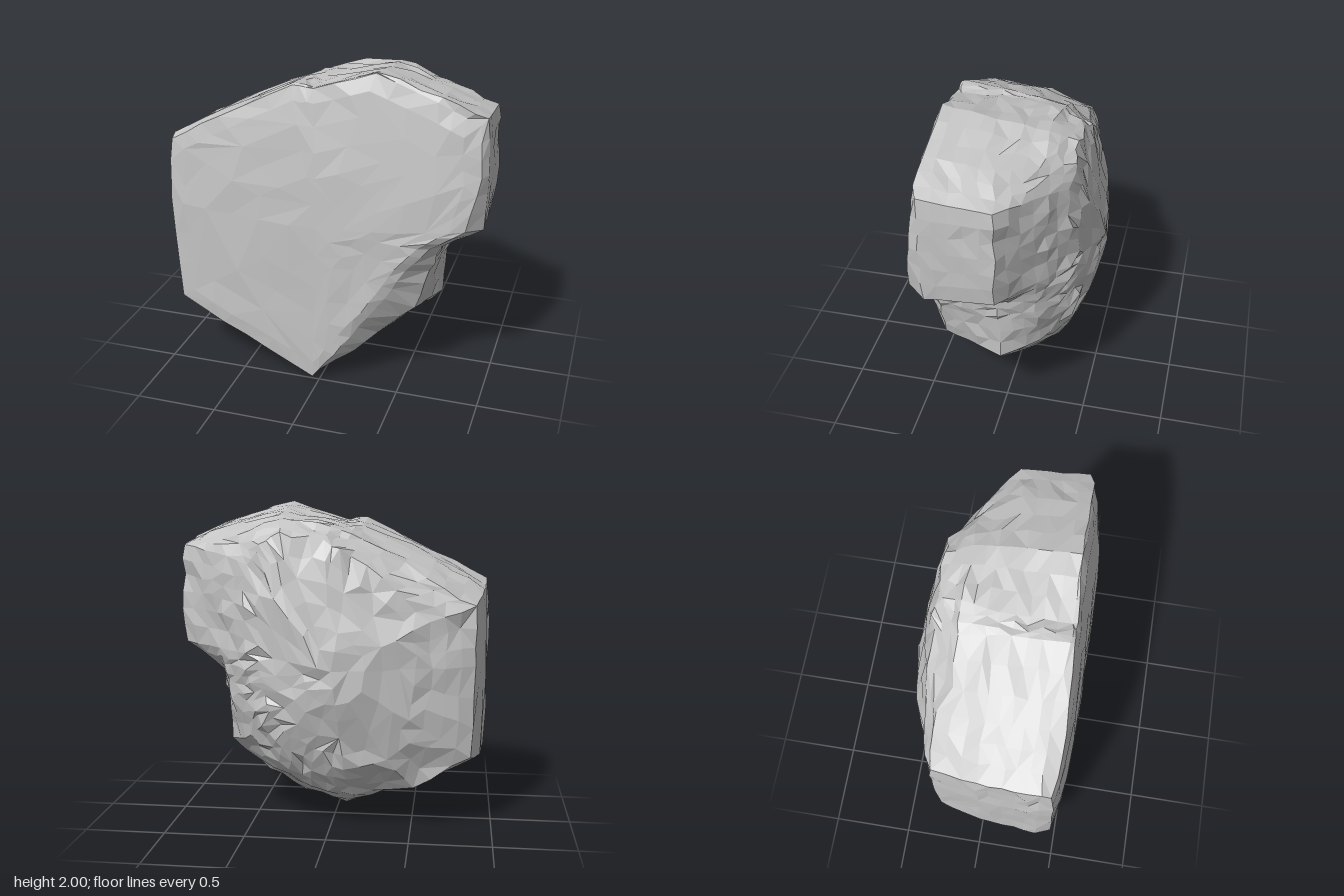
import * as THREE from 'three';

// Outlines in x, y running counter-clockwise from the bottom tip, front to back
const FRONT = [[-.04, .03], [.1, .21], [.25, .42], [.41, .64], [.53, .84], [.67, 1], [.87, 1.13], [.94, 1.45], [.92, 1.75],
  [.68, 1.86], [.32, 1.99], [-.04, 1.88], [-.17, 1.89], [-.62, 1.67], [-.945, 1.49], [-.965, 1.1], [-.92, .44], [-.48, .25]];
const SHOULDER = [[-.05, .005], [.15, .16], [.34, .33], [.57, .54], [.65, .8], [.72, .97], [.955, 1.11], [.97, 1.45], [.955, 1.78],
  [.7, 1.89], [.32, 2], [-.05, 1.88], [-.17, 1.9], [-.62, 1.68], [-.95, 1.51], [-.97, 1.1], [-.95, .41], [-.5, .22]];
const MIDDLE = [[-.08, .08], [.19, .16], [.42, .29], [.67, .49], [.69, .8], [.72, .95], [.945, 1.13], [.965, 1.45], [.945, 1.74],
  [.7, 1.85], [.33, 1.94], [-.05, 1.88], [-.17, 1.85], [-.62, 1.66], [-.93, 1.48], [-.94, 1.1], [-.92, .43], [-.5, .23]];
const REAR = [[-.14, .2], [.12, .25], [.34, .37], [.54, .55], [.62, .8], [.65, .96], [.69, 1.12], [.73, 1.45], [.71, 1.71],
  [.57, 1.82], [.32, 1.91], [-.01, 1.87], [-.18, 1.8], [-.58, 1.57], [-.88, 1.41], [-.88, 1.05], [-.86, .48], [-.52, .28]];
const BACK = [[-.1, .41], [.1, .45], [.28, .53], [.4, .67], [.46, .83], [.48, .97], [.5, 1.12], [.51, 1.4], [.48, 1.65],
  [.41, 1.77], [.28, 1.84], [.02, 1.8], [-.14, 1.71], [-.4, 1.51], [-.6, 1.32], [-.62, 1.05], [-.58, .68], [-.36, .48]];

const SPLIT = 3; // columns between neighbouring outline points
const COLS = FRONT.length * SPLIT;
const CENTRE_Y = 1.05;

let seed = 7;
const rand = () => {
  seed = (seed * 16807) % 2147483647;
  return seed / 2147483647 - 0.5;
};

// Gently domed front face
const frontZ = (x, y) => 0.525 - 0.12 * Math.max(0, y - 1) ** 2 - 0.07 * x ** 4;

// Point on an outline at a column, placed at the depth given by a rule
function at(outline, col, depth) {
  const i = Math.floor(col / SPLIT), t = (col % SPLIT) / SPLIT;
  const a = outline[i], b = outline[(i + 1) % outline.length];
  const x = a[0] + (b[0] - a[0]) * t, y = a[1] + (b[1] - a[1]) * t;
  return new THREE.Vector3(x, y, depth(x, y));
}

function buildRock() {
  const rings = [];
  // Columns of one group share a point, so facets keep their size towards the centres
  const addRing = (point, jitter, group = 1) => {
    const ring = [];
    for (let c = 0; c < COLS; c++) {
      if (c % group) {
        ring.push(ring[c - 1]);
        continue;
      }
      const corner = c % SPLIT === 0 ? 0.4 : 1; // keep the main corners crisp
      const p = point(c);
      p.x += rand() * jitter * corner;
      p.y += rand() * jitter * corner;
      p.z += rand() * jitter;
      p.y = Math.max(0, p.y);
      ring.push(p);
    }
    rings.push(ring);
  };

  // Front face, from its centre out to the rim
  for (const [s, group] of [[0, COLS], [0.18, 9], [0.38, 3], [0.56, 3], [0.74, 3], [0.9, 1]]) {
    addRing(c => {
      const p = at(FRONT, c, frontZ);
      p.x *= s;
      p.y = CENTRE_Y + (p.y - CENTRE_Y) * s;
      p.z = frontZ(p.x, p.y);
      return p;
    }, 0.012, group);
  }

  // Sides, lofted between the outlines; the lower right rim is softened
  const stations = [
    [FRONT, (x, y) => frontZ(x, y) - (x > 0.15 && y < 1.05 ? 0.025 : 0.008), 1, 0.012],
    [SHOULDER, (x, y) => 0.37 + (y < 0.3 ? 0.05 : 0) + (y > 1.8 ? 0.03 : 0), 5, 0.02],
    [MIDDLE, x => (x > 0.8 ? -0.05 : 0), 3, 0.025],
    [REAR, x => (x < -0.5 ? -0.28 : -0.22), 3, 0.03],
    [BACK, () => -0.38, 1, 0.035],
  ];
  stations.forEach(([outline, depth, steps, jitter], k) => {
    const next = stations[k + 1];
    for (let s = 0; s < steps; s++) {
      addRing(c => {
        const p = at(outline, c, depth);
        return next ? p.lerp(at(next[0], c, next[1]), s / steps) : p;
      }, jitter);
    }
  });

  // Rounded back, closing on a blunt peak
  for (const [s, group] of [[0.84, 1], [0.67, 3], [0.5, 3], [0.33, 3], [0.17, 9], [0, COLS]]) {
    addRing(c => {
      const p = at(BACK, c, () => 0);
      return p.set(-0.04 + (p.x + 0.04) * s, CENTRE_Y + (p.y - CENTRE_Y) * s, -0.38 - 0.145 * (1 - s ** 1.5));
    }, 0.03, group);
  }

  // Facets with randomly turned diagonals
  const pos = [];
  const tri = (a, b, c) => {
    if (a === b || b === c || c === a) return;
    for (const p of [a, b, c]) pos.push(p.x, p.y, p.z);
  };
  for (let r = 0; r < rings.length - 1; r++) {
    for (let c = 0; c < COLS; c++) {
      const n = (c + 1) % COLS;
      const a = rings[r][c], b = rings[r][n], d = rings[r + 1][c], e = rings[r + 1][n];
      if (rand() > 0) {
        tri(a, d, b);
        tri(b, d, e);
      } else {
        tri(a, d, e);
        tri(a, e, b);
      }
    }
  }
  const geo = new THREE.BufferGeometry();
  geo.setAttribute('position', new THREE.Float32BufferAttribute(pos, 3));
  geo.computeVertexNormals();
  return geo;
}

export function createModel() {
  seed = 7;
  const stone = new THREE.MeshStandardMaterial({ color: 0xc4c4c4, flatShading: true });
  stone.name = 'stone grey';
  const rock = new THREE.Mesh(buildRock(), stone);
  rock.name = 'rock';
  const group = new THREE.Group();
  group.name = 'boulder';
  group.add(rock);
  return group;
}
